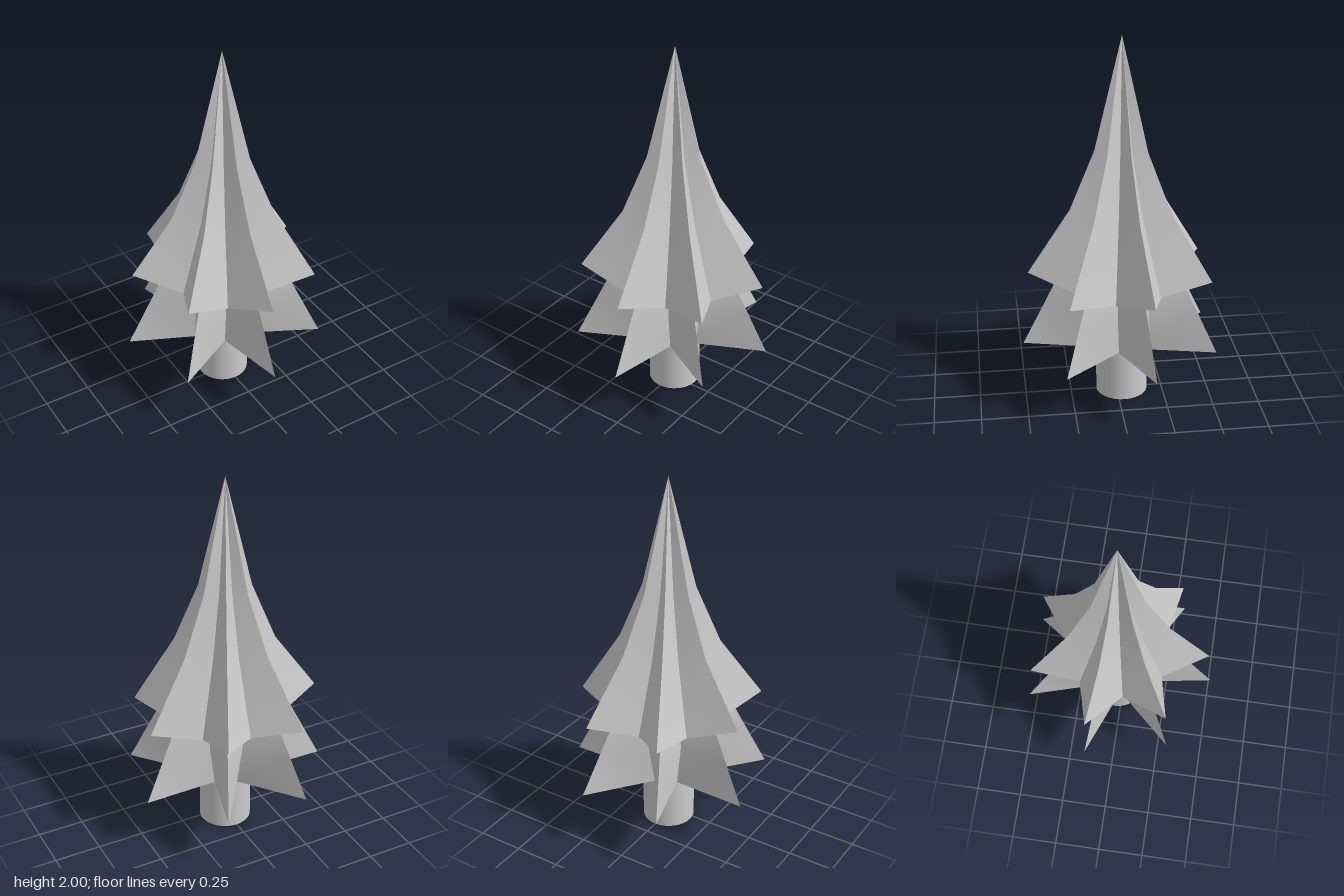
import * as THREE from 'three';
import { toCreasedNormals } from 'three/addons/utils/BufferGeometryUtils.js';

const POINTS = 7;
const CENTRE_Z = -0.03;

// Slightly uneven hem of the upper tier: heights of the tips and the valleys
const HEM_TIPS = [0.73, 0.69, 0.715, 0.72, 0.72, 0.76, 0.755];
const HEM_VALLEYS = [0.65, 0.645, 0.65, 0.655, 0.665, 0.67, 0.64];

// Star cross-sections from apex to base: [tip radius, tip y, valley radius, valley y]
const SECTIONS = [
  [0, 2, 0, 2],
  [0.142, 1.4, 0.075, 1.4],
  [0.272, 1.08, 0.155, 1.05],
  [0.5, HEM_TIPS, 0.287, HEM_VALLEYS],
  [0.345, 0.69, 0.19, 0.635],
  [0.415, 0.55, 0.2, 0.55],
  [0.535, 0.31, 0.14, 0.29],
  [0, 0.29, 0, 0.29],
];

// One corner of a star section; even corners are tips, odd ones valleys
function corner([tipR, tipY, valleyR, valleyY], j) {
  const i = j % (POINTS * 2);
  const a = (i * Math.PI) / POINTS;
  const r = i % 2 ? valleyR : tipR;
  const y = i % 2 ? valleyY : tipY;
  const h = Array.isArray(y) ? y[i >> 1] : y;
  return [r * Math.sin(a), h, r * Math.cos(a)];
}

function starLoft(sections) {
  const pos = [];
  for (let s = 0; s < sections.length - 1; s++) {
    const up = sections[s], low = sections[s + 1];
    for (let j = 0; j < POINTS * 2; j++) {
      const a = corner(up, j), b = corner(low, j);
      const c = corner(low, j + 1), d = corner(up, j + 1);
      // Split each quad from its tip side so both flanks mirror
      if (low[0] === 0) pos.push(...a, ...b, ...d);
      else if (up[0] === 0) pos.push(...a, ...b, ...c);
      else if (j % 2) pos.push(...a, ...b, ...d, ...b, ...c, ...d);
      else pos.push(...a, ...b, ...c, ...a, ...c, ...d);
    }
  }
  const geo = new THREE.BufferGeometry();
  geo.setAttribute('position', new THREE.Float32BufferAttribute(pos, 3));
  return toCreasedNormals(geo, 0.4);
}

export function createModel() {
  const group = new THREE.Group();
  group.name = 'tree';
  const material = new THREE.MeshStandardMaterial({ color: 0xcccccc });

  // Two-tiered star-shaped foliage
  const foliage = new THREE.Mesh(starLoft(SECTIONS), material);
  foliage.name = 'foliage';
  foliage.position.z = CENTRE_Z;
  group.add(foliage);

  // Round trunk
  const trunk = new THREE.Mesh(new THREE.CylinderGeometry(0.14, 0.14, 0.3, 32), material);
  trunk.name = 'trunk';
  trunk.position.set(0, 0.15, CENTRE_Z);
  group.add(trunk);

  return group;
}
